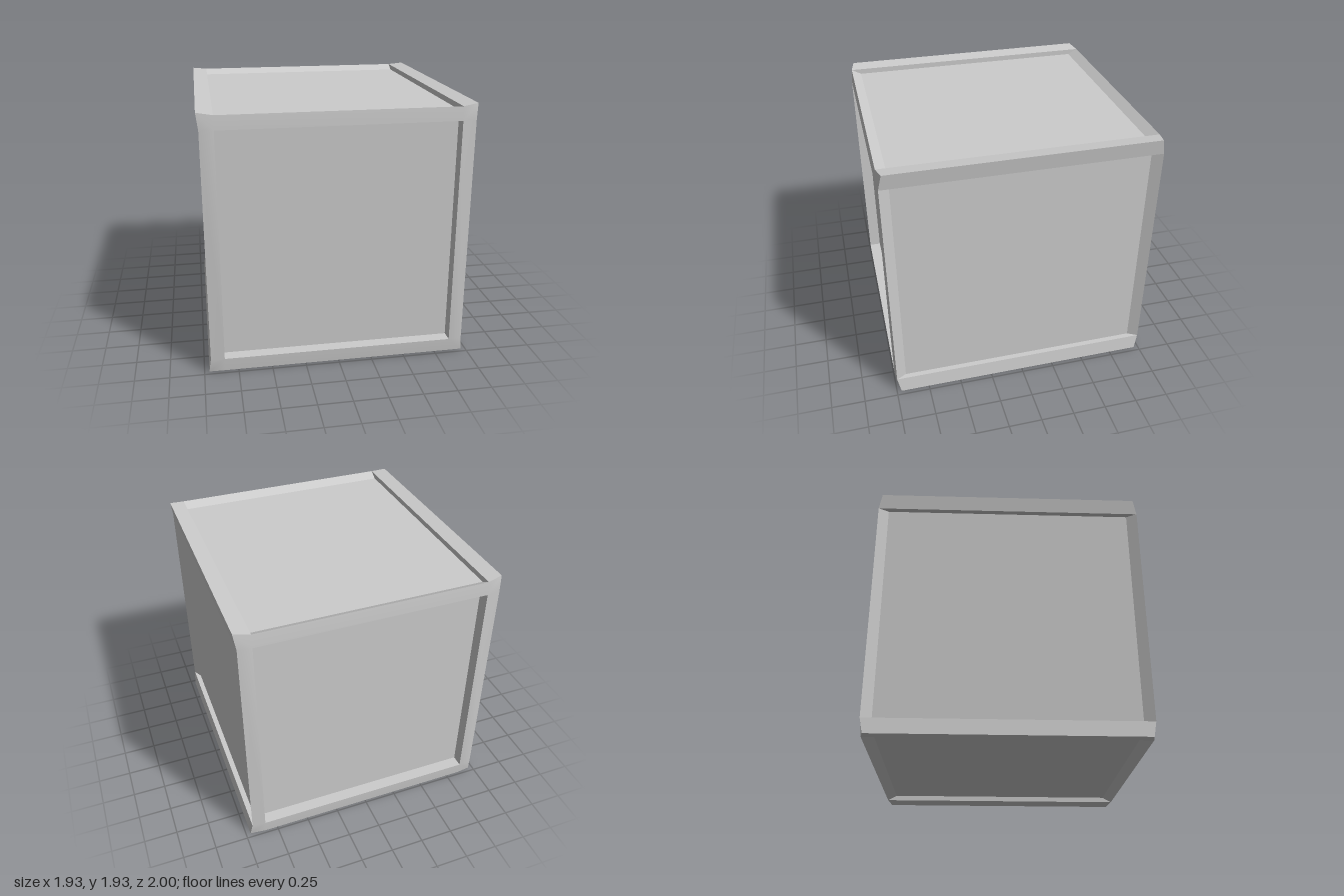
import * as THREE from 'three';
import { mergeVertices } from 'three/addons/utils/BufferGeometryUtils.js';

const CORNER = 0.965; // outer corner, same on all axes
const EDGE = 0.95;    // outer edge between corners
const OPEN = 0.85;    // half size of the recess openings
const LIP = 0.99;     // depth of the end frame's outer edge
const FRONT = 1.0;    // depth of the end frame's inner edge
const END_FLOOR = 0.91, SIDE_FLOOR = 0.91, RAMP = 0.917;

const material = new THREE.MeshStandardMaterial({ color: 0xcccccc });

// Joins rows of points with quads; rows run counter-clockwise, outer row first
function loft(name, rows, closed, smooth) {
  const n = rows[0].length, index = [];
  for (let r = 0; r < rows.length - 1; r++) {
    for (let i = 0; i < (closed ? n : n - 1); i++) {
      const j = (i + 1) % n;
      const a = r * n + i, b = r * n + j, c = b + n, d = a + n;
      index.push(a, b, c, a, c, d);
    }
  }
  let geometry = new THREE.BufferGeometry();
  geometry.setAttribute('position', new THREE.Float32BufferAttribute(rows.flat(2), 3));
  geometry.setIndex(index);
  geometry = smooth ? mergeVertices(geometry) : geometry.toNonIndexed();
  geometry.computeVertexNormals();
  const mesh = new THREE.Mesh(geometry, material);
  mesh.name = name;
  return mesh;
}

// Repeats a corner's points in four quarter turns about z
function fourTurns(points) {
  const row = [];
  for (let k = 0; k < 4; k++) {
    for (const [x, y, z] of points) {
      row.push([[x, y, z], [-y, x, z], [-x, -y, z], [y, -x, z]][k]);
    }
  }
  return row;
}

// Square frame with flared corners around a straight-walled recess
function createEnd() {
  const end = new THREE.Group();
  const outer = fourTurns([[EDGE, OPEN, LIP], [CORNER, CORNER, CORNER], [OPEN, EDGE, LIP]]);
  const w = [OPEN, OPEN, FRONT];
  end.add(loft('endFrame', [outer, fourTurns([w, w, w])], true, true));
  const rim = fourTurns([w]);
  const floor = fourTurns([[OPEN, OPEN, END_FLOOR]]);
  end.add(loft('endRecessWalls', [rim, floor], true, false));
  const panel = new THREE.Mesh(new THREE.PlaneGeometry(2 * OPEN, 2 * OPEN), material);
  panel.name = 'endPanel';
  panel.position.z = END_FLOOR;
  end.add(panel);
  return end;
}

// Side facing +x: two long rails and a recess with ramped ends
function createSide() {
  const side = new THREE.Group();
  for (const s of [1, -1]) {
    side.add(loft('rail', [
      [[EDGE, s * OPEN, -s * LIP], [CORNER, s * CORNER, -s * CORNER]],
      [[EDGE, s * OPEN, s * LIP], [CORNER, s * CORNER, s * CORNER]],
    ], false, false));
  }
  const loop = (x, z) => [[x, OPEN, -z], [x, OPEN, z], [x, -OPEN, z], [x, -OPEN, -z]];
  side.add(loft('sideRecessWalls', [loop(EDGE, LIP), loop(SIDE_FLOOR, RAMP)], true, false));
  const panel = new THREE.Mesh(new THREE.PlaneGeometry(2 * RAMP, 2 * OPEN), material);
  panel.name = 'sidePanel';
  panel.rotation.y = Math.PI / 2;
  panel.position.x = SIDE_FLOOR;
  side.add(panel);
  return side;
}

export function createModel() {
  const model = new THREE.Group();
  model.name = 'panelledCube';
  const body = new THREE.Group();
  body.name = 'body';
  body.position.y = CORNER;
  model.add(body);

  ['frontEnd', 'backEnd'].forEach((name, k) => {
    const end = createEnd();
    end.name = name;
    end.rotation.y = k * Math.PI;
    body.add(end);
  });
  ['leftSide', 'topSide', 'rightSide', 'bottomSide'].forEach((name, k) => {
    const side = createSide();
    side.name = name;
    side.rotation.z = k * Math.PI / 2;
    body.add(side);
  });
  return model;
}
